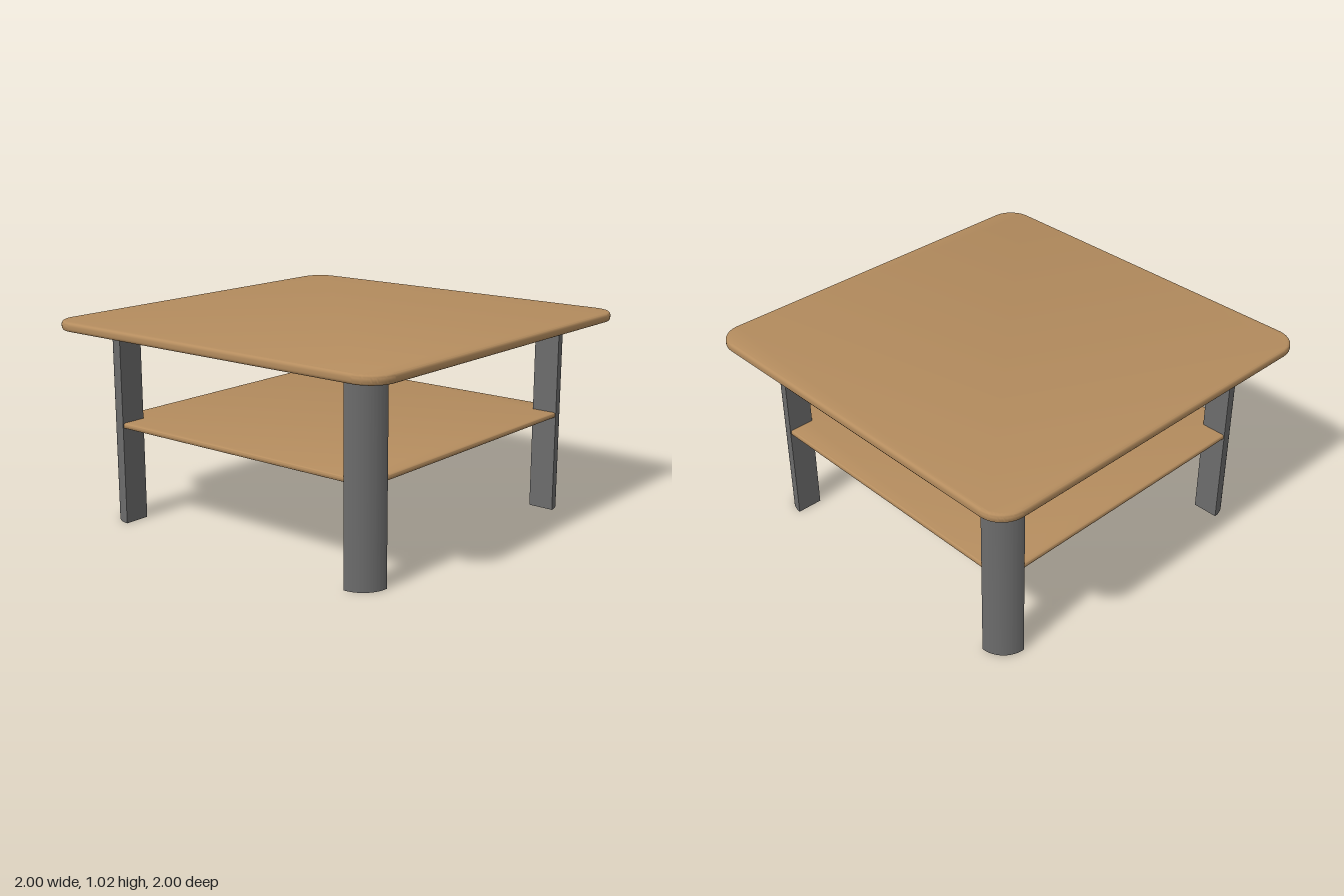
import * as THREE from 'three';
import { toCreasedNormals } from 'three/addons/utils/BufferGeometryUtils.js';

const mat = (name, color) => {
  const m = new THREE.MeshStandardMaterial({ color });
  m.name = name;
  return m;
};

// Extrude a plan outline upwards from y = base, smoothing the curved sides
function extrudeUp(shape, base, height, bevel) {
  const geo = new THREE.ExtrudeGeometry(shape, {
    depth: height - 2 * bevel, curveSegments: 16, bevelEnabled: bevel > 0,
    bevelSize: bevel, bevelThickness: bevel, bevelSegments: 4, bevelOffset: -bevel,
  });
  geo.rotateX(-Math.PI / 2);
  geo.translate(0, base + bevel, 0);
  return toCreasedNormals(geo, 0.7);
}

// Square board with rounded corners and softened edges
function board(name, half, radius, base, height, bevel, material) {
  const s = new THREE.Shape();
  const c = half - radius;
  s.absarc(c, c, radius, 0, Math.PI / 2);
  s.absarc(-c, c, radius, Math.PI / 2, Math.PI);
  s.absarc(-c, -c, radius, Math.PI, Math.PI * 1.5);
  s.absarc(c, -c, radius, Math.PI * 1.5, Math.PI * 2);
  s.closePath();
  const mesh = new THREE.Mesh(extrudeUp(s, base, height, bevel), material);
  mesh.name = name;
  return mesh;
}

export function createModel() {
  const wood = mat('wood', 0xb48c5e);
  const grey = mat('darkGrey', 0x6c6c6c);
  const table = new THREE.Group();
  table.name = 'table';

  table.add(board('tableTop', 1, 0.13, 0.972, 0.046, 0.016, wood));
  table.add(board('shelf', 0.827, 0.134, 0.488, 0.027, 0.01, wood));

  // Quarter-round legs, curved side facing outwards
  const inner = 0.697, radius = 0.134;
  const quarter = new THREE.Shape();
  quarter.moveTo(inner, inner);
  quarter.lineTo(inner + radius, inner);
  quarter.absarc(inner, inner, radius, 0, Math.PI / 2);
  quarter.closePath();
  const legGeo = extrudeUp(quarter, 0, 0.98, 0);
  const names = ['backLeftLeg', 'backRightLeg', 'frontRightLeg', 'frontLeftLeg'];
  names.forEach((name, i) => {
    const leg = new THREE.Mesh(legGeo, grey);
    leg.name = name;
    leg.rotation.y = i * Math.PI / 2;
    table.add(leg);
  });
  return table;
}
